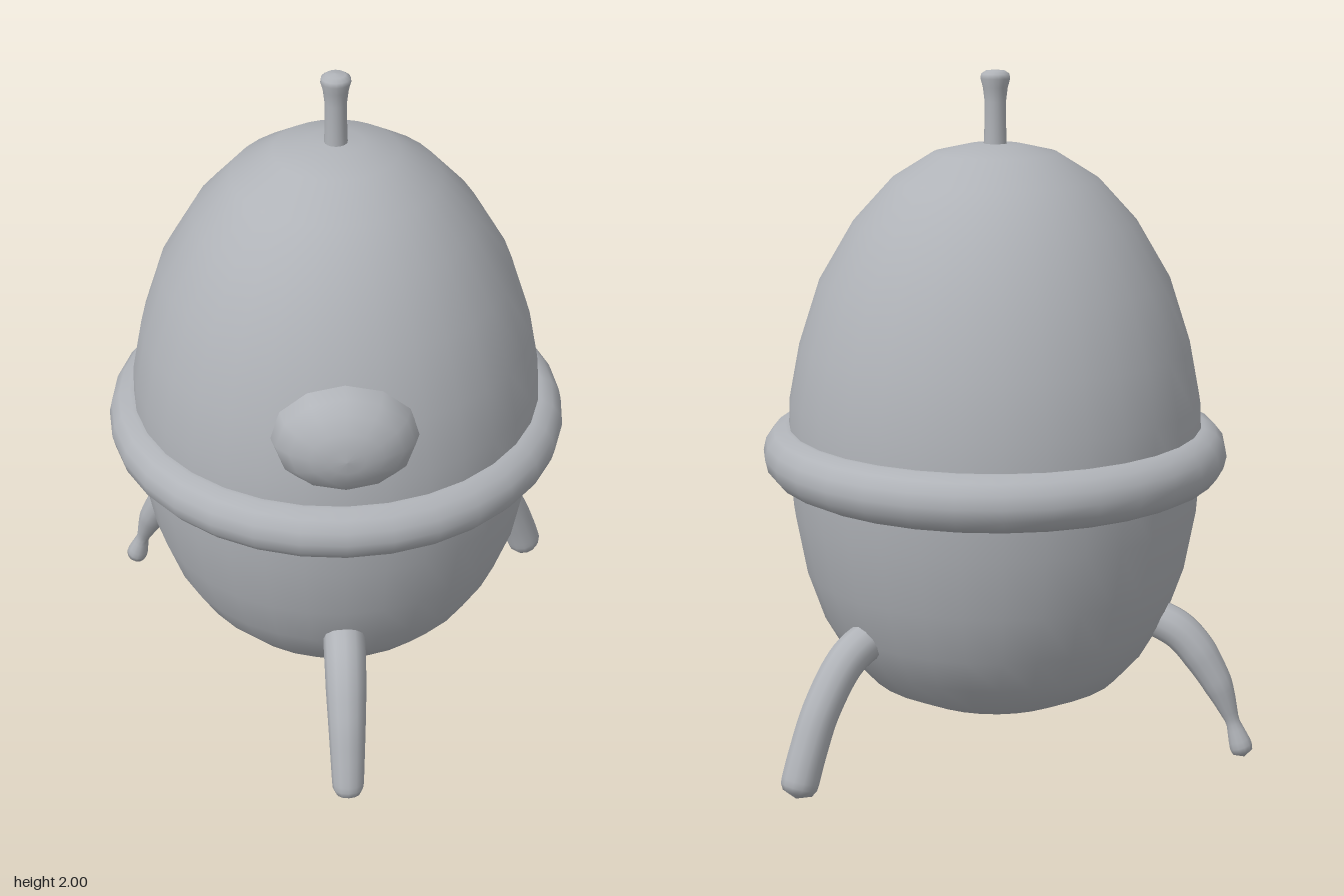
import * as THREE from 'three';
import { mergeVertices } from 'three/addons/utils/BufferGeometryUtils.js';

// Surface of revolution from [radius, y] pairs
function lathe(pairs, segments) {
  return new THREE.LatheGeometry(pairs.map(([r, y]) => new THREE.Vector2(r, y)), segments);
}

// Curved leg in the +z direction; radii are spread evenly along its length
function legGeometry(radii) {
  const path = new THREE.CatmullRomCurve3(
    [[0.44, 0.43], [0.57, 0.375], [0.67, 0.25], [0.725, 0.13], [0.77, 0.005]]
      .map(([r, y]) => new THREE.Vector3(0, y, r)));
  const rings = 32, sides = 12;
  const geo = new THREE.TubeGeometry(path, rings, 1, sides);
  const pos = geo.attributes.position;
  const v = new THREE.Vector3();
  for (let i = 0; i <= rings; i++) {
    const t = i / rings;
    const f = t * (radii.length - 1);
    const k = Math.min(Math.floor(f), radii.length - 2);
    let radius = THREE.MathUtils.lerp(radii[k], radii[k + 1], f - k);
    // rounded foot
    const end = Math.max(0, (t - 0.92) / 0.08);
    radius *= Math.sqrt(Math.max(0, 1 - end * end));
    const centre = path.getPointAt(t);
    for (let j = 0; j <= sides; j++) {
      const n = i * (sides + 1) + j;
      v.fromBufferAttribute(pos, n).sub(centre).multiplyScalar(radius).add(centre);
      pos.setXYZ(n, v.x, v.y, v.z);
    }
  }
  geo.deleteAttribute('uv');
  geo.deleteAttribute('normal');
  const merged = mergeVertices(geo, 1e-5);
  merged.computeVertexNormals();
  return merged;
}

export function createModel() {
  const model = new THREE.Group();
  model.name = 'eggRocket';
  const grey = new THREE.MeshStandardMaterial({ color: 0xb0b3b8 });
  grey.name = 'grey';

  // Everything is arranged around the hull's upright axis
  const craft = new THREE.Group();
  craft.name = 'craft';
  craft.position.set(-0.01, 0, -0.06);
  model.add(craft);

  const add = (name, geometry) => {
    const mesh = new THREE.Mesh(geometry, grey);
    mesh.name = name;
    craft.add(mesh);
    return mesh;
  };

  // Egg-shaped hull
  add('hull', lathe([
    [0, 0.125], [0.13, 0.132], [0.26, 0.152], [0.38, 0.21], [0.455, 0.295], [0.515, 0.4],
    [0.565, 0.545], [0.597, 0.72], [0.61, 0.89], [0.603, 1.05], [0.572, 1.21], [0.51, 1.4],
    [0.41, 1.57], [0.3, 1.69], [0.18, 1.765], [0.08, 1.788], [0, 1.793],
  ], 32));

  // Ring around the waist
  const ring = add('waistRing', new THREE.TorusGeometry(0.6, 0.083, 14, 32));
  ring.rotation.x = Math.PI / 2;
  ring.position.y = 0.892;

  // Bulging front window, a half ellipsoid with a flat back
  const dome = lathe([[0, 0], [1, 0], [1, 0], [0.93, 0.37], [0.76, 0.65], [0.5, 0.87], [0.25, 0.97], [0, 1]], 12);
  dome.rotateX(Math.PI / 2);
  dome.scale(0.207, 0.165, 0.13);
  const porthole = add('window', dome);
  porthole.position.set(0, 1.167, 0.535);

  // Antenna with a flared, rounded tip
  add('antenna', lathe([
    [0.035, 1.76], [0.032, 1.82], [0.031, 1.91], [0.036, 1.95], [0.043, 1.975],
    [0.041, 1.988], [0.028, 1.997], [0, 2],
  ], 16));

  // Three legs, one of them narrowing to a thin ankle
  const legs = [
    ['frontLeg', 0, [0.062, 0.062, 0.06, 0.055, 0.05, 0.045]],
    ['backLeftLeg', 120, [0.055, 0.057, 0.056, 0.055, 0.055, 0.055]],
    ['backRightLeg', 240, [0.055, 0.057, 0.055, 0.044, 0.02, 0.042]],
  ];
  for (const [name, degrees, radii] of legs) {
    add(name, legGeometry(radii)).rotation.y = THREE.MathUtils.degToRad(degrees);
  }

  return model;
}
